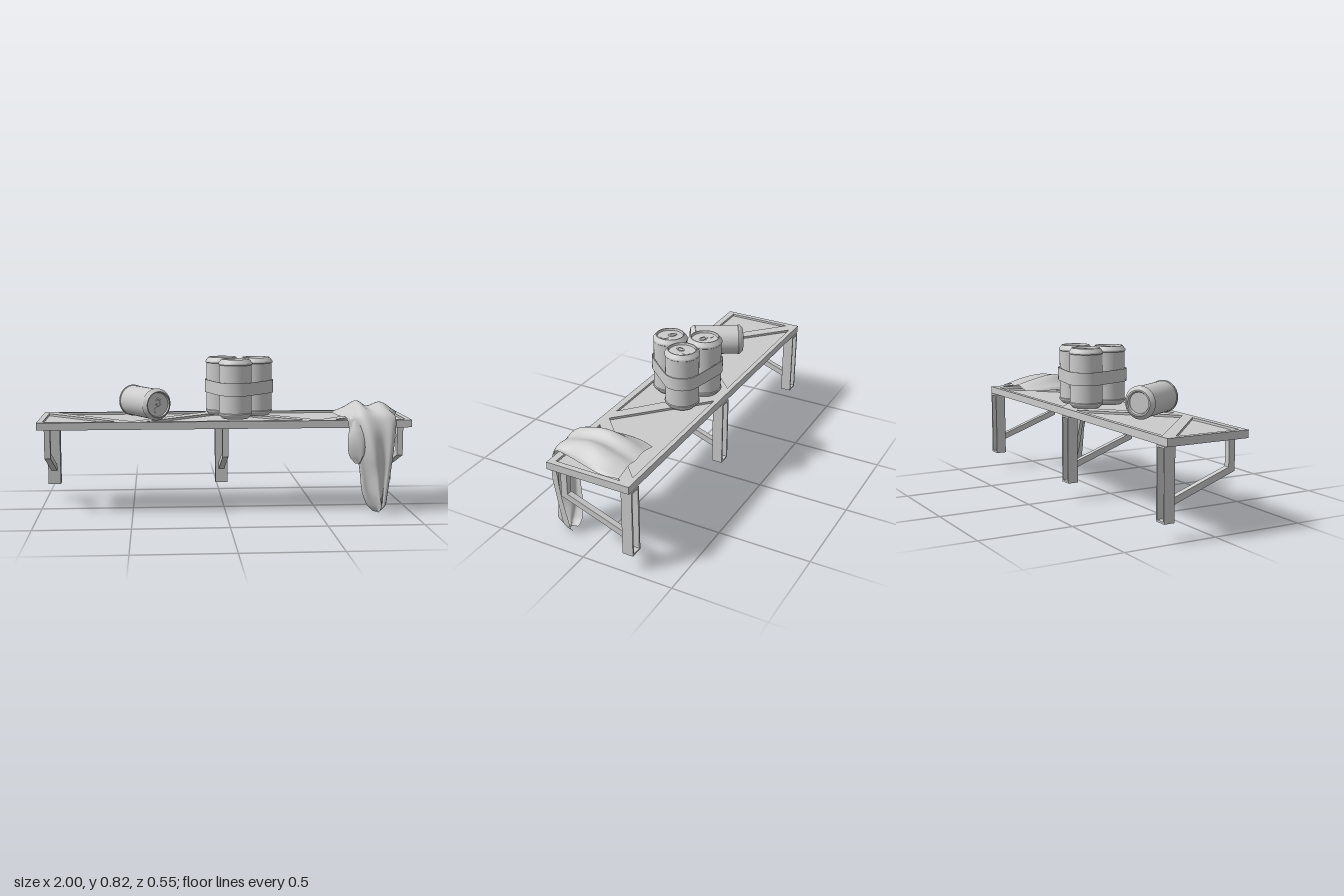
import * as THREE from 'three';
import { toCreasedNormals } from 'three/addons/utils/BufferGeometryUtils.js';

const grey = new THREE.MeshStandardMaterial({ color: 0xcccccc });
const cloth = new THREE.MeshStandardMaterial({ color: 0xcccccc, side: THREE.DoubleSide });

function add(parent, name, geo, mat = grey) {
  const m = new THREE.Mesh(geo, mat);
  m.name = name;
  parent.add(m);
  return m;
}
// Box given by its minimum and maximum corners
function boxBetween(parent, name, [x0, y0, z0], [x1, y1, z1]) {
  const m = add(parent, name, new THREE.BoxGeometry(x1 - x0, y1 - y0, z1 - z0));
  m.position.set((x0 + x1) / 2, (y0 + y1) / 2, (z0 + z1) / 2);
  return m;
}
const polygon = (pts, Type = THREE.Shape) => new Type(pts.map(([x, y]) => new THREE.Vector2(x, y)));
// Extrude a plan shape (x, -z) upwards from y0
function slab(shape, y0, height) {
  return new THREE.ExtrudeGeometry(shape, { depth: height, bevelEnabled: false })
    .rotateX(-Math.PI / 2).translate(0, y0, 0);
}

// Board with a truss-like raised frame around triangular recesses
function buildShelf() {
  const g = new THREE.Group();
  g.name = 'shelf';
  boxBetween(g, 'shelfBoard', [-1, 0.46, -0.275], [1, 0.488, 0.183]);
  const frame = polygon([[-1, -0.183], [1, -0.183], [1, 0.275], [-1, 0.275]]);
  frame.holes.push(polygon([[-0.42, -0.147], [0, 0.21], [0.42, -0.147]], THREE.Path));
  for (const s of [-1, 1]) {
    frame.holes.push(polygon([[s * 0.97, 0.21], [s * 0.97, -0.147], [s * 0.58, -0.147]], THREE.Path));
    frame.holes.push(polygon([[s * 0.92, 0.25], [s * 0.08, 0.25], [s * 0.5, -0.14]], THREE.Path));
  }
  add(g, 'shelfFrame', slab(frame, 0.488, 0.012));
  return g;
}

// Channel post, open at the back, with an angled arm in front
function buildBracket(x) {
  const g = new THREE.Group();
  g.name = 'bracket';
  g.position.x = x;
  const [y0, y1, zb, zf, w, t] = [0.095, 0.46, -0.28, -0.222, 0.035, 0.01];
  boxBetween(g, 'postWeb', [-w, y0, zf - 0.015], [w, y1, zf]);
  for (const s of [-1, 1]) {
    boxBetween(g, 'postSide', [s > 0 ? w - t : -w, y0, zb], [s > 0 ? w : t - w, y1, zf - 0.015]);
  }
  boxBetween(g, 'postFoot', [t - w, y0, zb], [w - t, y0 + t, zf - 0.015]);
  boxBetween(g, 'postCap', [t - w, y1 - t, zb], [w - t, y1, zf - 0.015]);
  const arm = polygon([[0.13, 0.46], [0.095, 0.46], [0.095, 0.322], [-0.222, 0.208], [-0.222, 0.173], [0.13, 0.3]]);
  add(g, 'arm', new THREE.ExtrudeGeometry(arm, { depth: 0.032, bevelEnabled: false })
    .translate(0, 0, -0.016).rotateY(-Math.PI / 2));
  return g;
}

// Drinks can standing on its own y = 0
const canProfile = [[0, 0.014], [0.058, 0.014], [0.064, 0], [0.072, 0], [0.09, 0.019], [0.092, 0.022], [0.092, 0.028],
  [0.088, 0.031], [0.088, 0.29], [0.092, 0.293], [0.092, 0.301], [0.09, 0.304], [0.076, 0.322], [0.071, 0.322], [0.068, 0.311], [0, 0.311]];
function buildCan(turn) {
  const g = new THREE.Group();
  g.name = 'can';
  const body = new THREE.LatheGeometry(canProfile.map(([r, y]) => new THREE.Vector2(r, y)), 40);
  add(g, 'canBody', toCreasedNormals(body, 0.6));
  const lid = new THREE.Group();
  lid.name = 'canOpener';
  lid.rotation.y = turn;
  g.add(lid);
  const tab = add(lid, 'pullTab', new THREE.TorusGeometry(0.014, 0.004, 6, 20).rotateX(Math.PI / 2));
  tab.scale.set(1, 0.6, 1.4);
  tab.position.set(0, 0.314, -0.014);
  const mouth = add(lid, 'mouth', new THREE.CylinderGeometry(0.021, 0.021, 0.002, 20));
  mouth.position.set(0, 0.312, 0.033);
  return g;
}

// Convex outline around equal circles whose centres run counter-clockwise
function outline(centres, r, Type) {
  const pts = [];
  const n = centres.length;
  const heading = (a, b) => Math.atan2(b[1] - a[1], b[0] - a[0]);
  centres.forEach((c, i) => {
    const a0 = heading(centres[(i + n - 1) % n], c) - Math.PI / 2;
    let a1 = heading(c, centres[(i + 1) % n]) - Math.PI / 2;
    while (a1 < a0) a1 += 2 * Math.PI;
    for (let k = 0; k <= 14; k++) {
      const a = a0 + (a1 - a0) * k / 14;
      pts.push([c[0] + r * Math.cos(a), c[1] + r * Math.sin(a)]);
    }
  });
  return polygon(pts, Type);
}

function buildCanPack() {
  const g = new THREE.Group();
  g.name = 'canPack';
  const centres = [[0.06, -0.025], [0.185, 0.115], [0, 0.15]];
  centres.forEach(([x, y], i) => {
    const can = buildCan(1 + i * 1.7);
    can.position.set(x, 0.498, -y);
    g.add(can);
  });
  const band = outline(centres, 0.097, THREE.Shape);
  band.holes.push(outline(centres, 0.092, THREE.Path));
  add(g, 'band', toCreasedNormals(slab(band, 0.625, 0.07), 0.6));
  return g;
}

// Draped sheet from stations [left x, right x, ridge z, ridge y, hollow z, hollow y]
function drape(stations, folds, twist) {
  const ridge = new THREE.CatmullRomCurve3(stations.map(s => new THREE.Vector3(s[0], s[3], s[2])));
  const hollow = new THREE.CatmullRomCurve3(stations.map(s => new THREE.Vector3(s[1], s[5], s[4])));
  const geo = new THREE.PlaneGeometry(1, 1, 48, 80);
  const p = geo.attributes.position;
  for (let i = 0; i < p.count; i++) {
    const u = p.getX(i) + 0.5, v = 0.5 - p.getY(i);
    const a = ridge.getPoint(v), b = hollow.getPoint(v);
    const arch = Math.sqrt(Math.max(0, Math.sin(Math.PI * u)));
    const k = arch * (0.78 - 0.22 * Math.cos(2 * Math.PI * folds * u - twist * v));
    // Folds swing sideways a little as they run down
    const sway = 0.012 * arch * Math.sin(7 * v + 5 * u);
    p.setXYZ(i, a.x + (b.x - a.x) * u + sway, b.y + (a.y - b.y) * k, b.z + (a.z - b.z) * k);
  }
  geo.computeVertexNormals();
  return geo;
}

function buildCloth() {
  const g = new THREE.Group();
  g.name = 'cloth';
  add(g, 'clothMain', drape([
    [0.65, 0.97, -0.205, 0.535, -0.205, 0.508],
    [0.62, 0.98, -0.12, 0.567, -0.12, 0.508],
    [0.62, 0.95, 0, 0.594, 0, 0.508],
    [0.64, 0.92, 0.1, 0.58, 0.1, 0.508],
    [0.66, 0.91, 0.19, 0.543, 0.192, 0.51],
    [0.68, 0.91, 0.245, 0.46, 0.2, 0.46],
    [0.7, 0.9, 0.274, 0.33, 0.195, 0.34],
    [0.72, 0.89, 0.268, 0.22, 0.185, 0.22],
    [0.74, 0.88, 0.266, 0.1, 0.165, 0.1],
    [0.77, 0.87, 0.262, 0.04, 0.155, 0.03],
    [0.8, 0.84, 0.23, 0.006, 0.16, 0],
  ], 2, Math.PI), cloth);
  add(g, 'clothSideFold', drape([
    [0.64, 0.76, 0.08, 0.55, 0.08, 0.508],
    [0.645, 0.76, 0.18, 0.53, 0.19, 0.51],
    [0.655, 0.76, 0.225, 0.46, 0.2, 0.46],
    [0.65, 0.76, 0.245, 0.38, 0.2, 0.38],
    [0.66, 0.75, 0.24, 0.31, 0.2, 0.31],
    [0.69, 0.73, 0.22, 0.27, 0.21, 0.27],
  ], 1, 1), cloth);
  return g;
}

export function createModel() {
  const model = new THREE.Group();
  model.name = 'shelfWithCans';
  model.add(buildShelf());
  for (const x of [-0.95, 0, 0.95]) model.add(buildBracket(x));
  model.add(buildCanPack());

  // Can lying on its side, lid towards the front
  const fallen = buildCan(0.5);
  fallen.name = 'fallenCan';
  const axis = new THREE.Vector3(0.51, 0, 0.86).normalize();
  fallen.quaternion.setFromUnitVectors(new THREE.Vector3(0, 1, 0), axis);
  fallen.scale.setScalar(0.93);
  fallen.position.set(-0.433, 0.585, -0.003).addScaledVector(axis, -0.15);
  model.add(fallen);

  model.add(buildCloth());
  return model;
}
